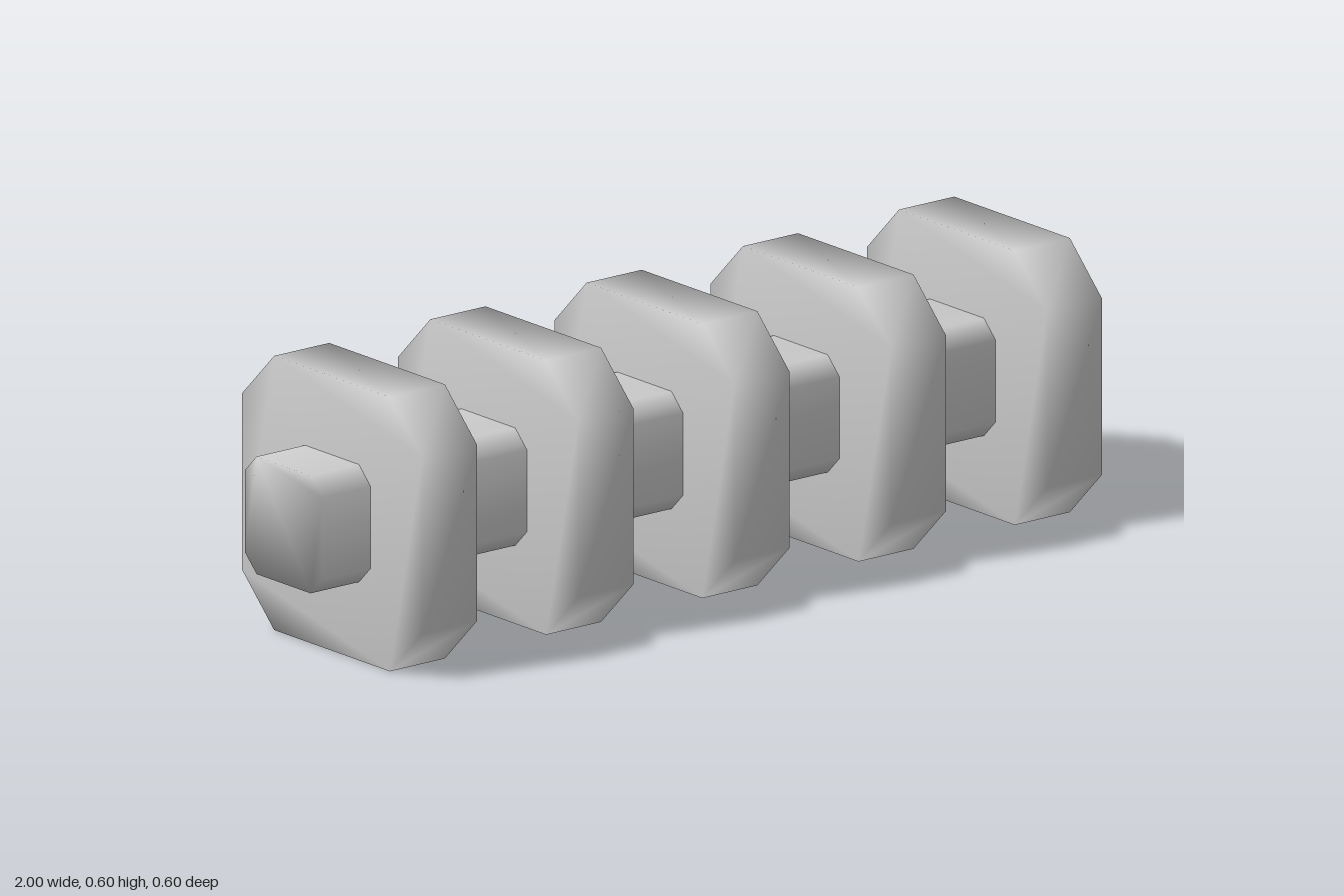
import * as THREE from 'three';
import { mergeVertices } from 'three/addons/utils/BufferGeometryUtils.js';

const AXIS_Y = 0.2975;

// Square bar with chamfered corners, lying along x, with softly shared normals
function chamferedBar(half, flat, length) {
  const outline = [
    [half, -flat], [half, flat], [flat, half], [-flat, half],
    [-half, flat], [-half, -flat], [-flat, -half], [flat, -half],
  ].map(([x, y]) => new THREE.Vector2(x, y));
  let geometry = new THREE.ExtrudeGeometry(new THREE.Shape(outline), {
    depth: length,
    bevelEnabled: false,
  });
  geometry.translate(0, 0, -length / 2);
  geometry.rotateY(Math.PI / 2);
  geometry.deleteAttribute('normal');
  geometry.deleteAttribute('uv');
  geometry.clearGroups();
  geometry = mergeVertices(geometry, 1e-4);
  geometry.computeVertexNormals();
  return geometry;
}

export function createModel() {
  const group = new THREE.Group();
  const material = new THREE.MeshStandardMaterial({ color: 0xcccccc });

  const addPart = (name, geometry, x) => {
    const mesh = new THREE.Mesh(geometry, material);
    mesh.name = name;
    mesh.position.set(x, AXIS_Y, 0);
    group.add(mesh);
  };

  // Central shaft
  addPart('shaft', chamferedBar(0.1275, 0.089, 2), 0);

  // Five evenly spaced plates, set slightly toward the left end
  const plate = chamferedBar(0.2975, 0.191, 0.147);
  for (let i = 0; i < 5; i++) addPart(`plate${i + 1}`, plate, -0.797 + i * 0.4175);

  return group;
}
